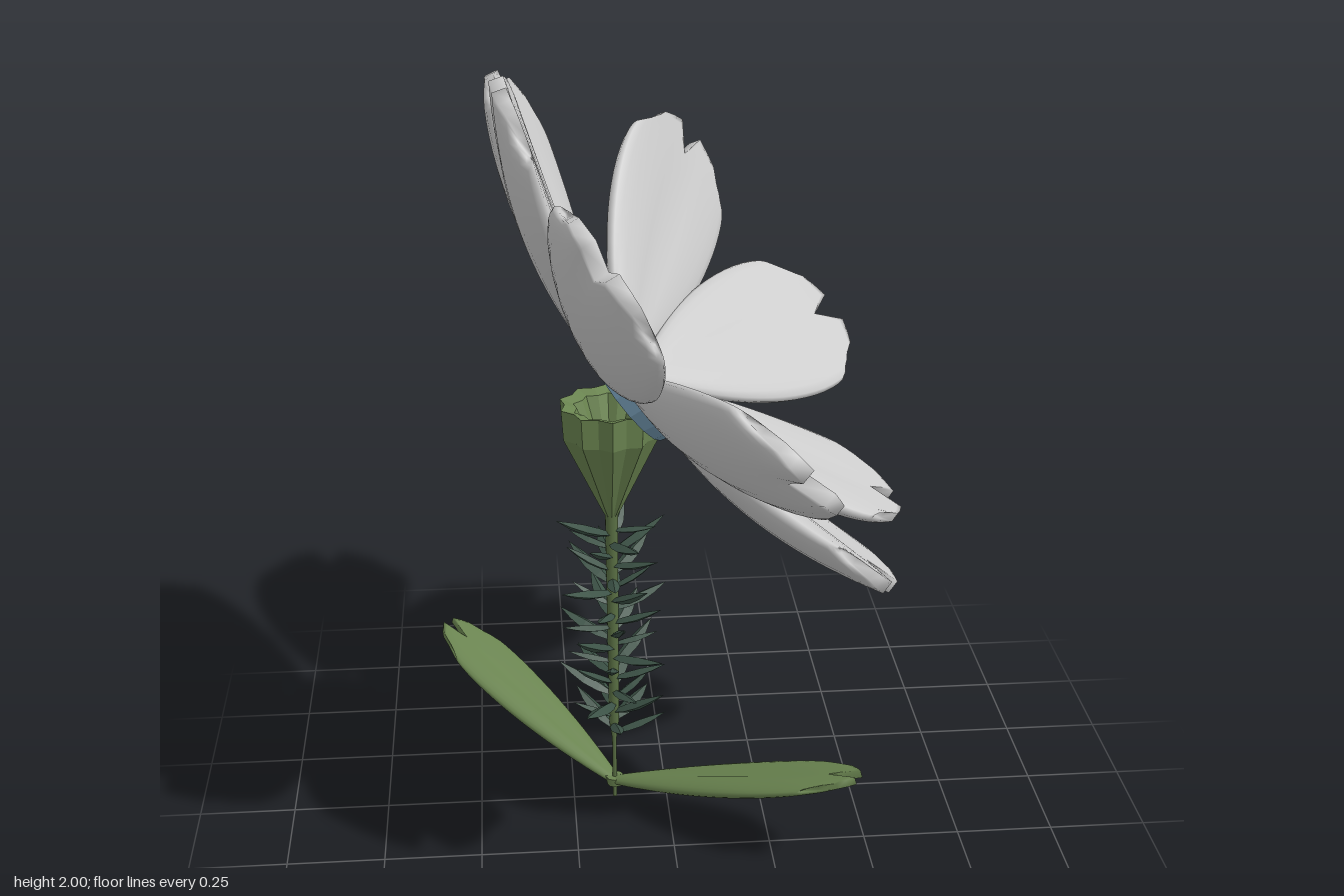
import * as THREE from 'three';

const V = (x, y, z) => new THREE.Vector3(x, y, z);
const STEM_X = -0.14;
const FACE = V(0.79, 0.62, 0).normalize(); // direction the bloom faces

const grey = new THREE.MeshStandardMaterial({ color: 0xcccccc });
const blue = new THREE.MeshStandardMaterial({ color: 0x7196ae, flatShading: true });
const leafGreen = new THREE.MeshStandardMaterial({ color: 0x6a8450 });
const cupGreen = new THREE.MeshStandardMaterial({ color: 0x6a8450, flatShading: true, side: THREE.DoubleSide });
const stemGreen = new THREE.MeshStandardMaterial({ color: 0x5a7044 });
const darkGreen = new THREE.MeshStandardMaterial({ color: 0x3c5246, flatShading: true });

// Half width along the blade (x = along, y = half width), for unit length
const OUTLINE = new THREE.SplineCurve([
  [0, 0.05], [0.1, 0.105], [0.28, 0.185], [0.48, 0.245], [0.68, 0.27], [0.87, 0.255], [1, 0.205],
].map(([t, w]) => new THREE.Vector2(t, w)));

// How far the tip reaches at side position s: a central notch between two pointed lobes
function tipReach(s) {
  const a = Math.abs(s);
  if (a < 0.27) return 0.88 + 0.44 * a;
  if (a < 0.75) return 1 - 0.13 * (a - 0.27);
  return 0.937 - 0.5 * (a - 0.75);
}

// Closed, rounded blade with a notched tip, running along +y and cupped to +z
function bladeGeometry(widthScale, thickness, cup, sag) {
  const rows = 22, ring = 24, pos = [], index = [];
  for (let i = 0; i <= rows; i++) {
    const { x: t, y: w } = OUTLINE.getPoint(i / rows);
    const fat = thickness * Math.pow(Math.sin(Math.PI * (0.08 + 0.84 * t)), 0.7);
    for (let j = 0; j < ring; j++) {
      const a = (j / ring) * Math.PI * 2, s = Math.cos(a);
      const groove = Math.sin(a) > 0 ? 0.014 * Math.max(0, 1 - Math.abs(s) * 3) * Math.sin(Math.PI * t) : 0;
      pos.push(
        s * w * widthScale,
        t * (1 - (1 - tipReach(s)) * Math.pow(t, 6)),
        Math.sin(a) * fat - groove + cup * s * s * t * (1.4 - t) - sag * Math.sin(Math.PI * t));
    }
  }
  for (let i = 0; i < rows; i++) for (let j = 0; j < ring; j++) {
    const a = i * ring + j, b = i * ring + (j + 1) % ring;
    index.push(a, a + ring, b, b, a + ring, b + ring);
  }
  // Close the base, then the blunt notched tip
  for (let j = 1; j < ring - 1; j++) index.push(0, j, j + 1);
  const end = rows * ring;
  for (let j = 0; j < ring / 2; j++) {
    const low = end + (ring - j) % ring, nextLow = end + ring - j - 1;
    index.push(end + j, low, end + j + 1, end + j + 1, low, nextLow);
  }
  const g = new THREE.BufferGeometry();
  g.setAttribute('position', new THREE.Float32BufferAttribute(pos, 3));
  g.setIndex(index);
  g.computeVertexNormals();
  return g;
}

// Place a blade from base to tip, with its inner face towards up
function placeBlade(geometry, material, name, base, tip, up, width = 1) {
  const along = tip.clone().sub(base), length = along.length();
  along.normalize();
  const side = along.clone().cross(up).normalize();
  const normal = side.clone().cross(along);
  const mesh = new THREE.Mesh(geometry, material);
  mesh.quaternion.setFromRotationMatrix(new THREE.Matrix4().makeBasis(side, along, normal));
  mesh.position.copy(base);
  mesh.scale.set(length * width, length, length);
  mesh.name = name;
  return mesh;
}

// Bloom: tilted disc with eight petals
function createBloom() {
  const bloom = new THREE.Group();
  bloom.name = 'bloom';
  const disc = new THREE.Mesh(new THREE.CylinderGeometry(0.15, 0.14, 0.035, 16), blue);
  disc.name = 'flowerCentre';
  disc.quaternion.setFromUnitVectors(V(0, 1, 0), FACE);
  disc.position.set(-0.085, 1.18, 0);
  bloom.add(disc);

  const petal = bladeGeometry(1, 0.064, 0.07, 0.035);
  const petals = [
    [V(-0.16, 1.28, 0.02), V(-0.395, 1.99, 0.11), 1],
    [V(-0.135, 1.255, 0.09), V(-0.19, 1.74, 0.65), 1.15],
    [V(-0.075, 1.21, 0.08), V(0.265, 1.265, 0.8), 1],
    [V(-0.035, 1.165, 0.04), V(0.505, 0.825, 0.43), 1.03],
    [V(-0.025, 1.16, -0.04), V(0.62, 0.775, -0.14), 1],
    [V(-0.025, 1.175, -0.13), V(0.52, 1.135, -0.67), 1.05],
    [V(-0.085, 1.22, -0.16), V(0.12, 1.63, -0.79), 1.05],
    [V(-0.16, 1.28, -0.06), V(-0.395, 1.87, -0.47), 1.05],
  ];
  petals.forEach(([base, tip, width], i) =>
    bloom.add(placeBlade(petal, grey, `petal${i + 1}`, base, tip, FACE, width)));
  return bloom;
}

// Pleated cup under the bloom, cut away where the tilted disc sits in it
function createCup() {
  const profile = [[0.015, 0.84], [0.03, 0.87], [0.125, 1.07], [0.13, 1.15], [0.095, 1.14], [0.06, 1.06], [0.001, 1.03]]
    .map(([r, y]) => new THREE.Vector2(r, y));
  const g = new THREE.LatheGeometry(profile, 20);
  const p = g.attributes.position;
  for (let i = 0; i < p.count; i++) {
    const fold = Math.floor(i / profile.length) % 2 ? 0.87 : 1;
    const x = p.getX(i) * fold;
    p.setXYZ(i, x, Math.min(p.getY(i), 1.225 - 1.0 * x), p.getZ(i) * fold);
  }
  const cup = new THREE.Mesh(g, cupGreen);
  cup.name = 'calyx';
  cup.position.x = STEM_X;
  return cup;
}

// Stem with a spiral of small pointed leaves
function createStem() {
  const stem = new THREE.Group();
  stem.name = 'stem';
  stem.position.x = STEM_X;
  const stalk = new THREE.Mesh(new THREE.LatheGeometry(
    [[0.006, 0], [0.006, 0.18], [0.014, 0.24], [0.017, 0.88]].map(([r, y]) => new THREE.Vector2(r, y)), 10), stemGreen);
  stalk.name = 'stalk';
  stem.add(stalk);

  // Flattened spike along +x, widest near the middle and rising to its point
  const spike = new THREE.CylinderGeometry(1, 1, 1, 4, 4);
  const p = spike.attributes.position;
  for (let i = 0; i < p.count; i++) {
    const t = p.getY(i) + 0.5;
    const w = 0.021 * Math.sin(Math.PI * (0.12 + 0.88 * t));
    p.setXYZ(i, t * 0.15, p.getX(i) * w * 0.6 + 0.04 * t + 0.02 * t * t, -p.getZ(i) * w);
  }
  const count = 48;
  for (let i = 0; i < count; i++) {
    const leaf = new THREE.Mesh(spike, darkGreen);
    leaf.name = 'stemLeaf';
    leaf.position.y = 0.2 + 0.6 * i / (count - 1);
    leaf.rotation.set(0, i * 2.4, 0.2 * Math.sin(i * 1.7));
    leaf.scale.setScalar(0.92 + 0.18 * Math.sin(i * 2.9));
    stem.add(leaf);
  }
  return stem;
}

// Two long leaves at the foot
function createFootLeaves() {
  const group = new THREE.Group();
  group.name = 'footLeaves';
  const blade = bladeGeometry(0.44, 0.036, 0.01, 0.01);
  const base = V(STEM_X, 0.05, 0);
  group.add(placeBlade(blade, leafGreen, 'leftFootLeaf', base, V(0.455, 0.28, 0.4), V(0, 1, 0)));
  group.add(placeBlade(blade, leafGreen, 'rightFootLeaf', base, V(-0.59, 0.28, -0.51), V(0, 1, 0)));
  const collar = new THREE.Mesh(new THREE.CylinderGeometry(0.025, 0.02, 0.025, 8), leafGreen);
  collar.name = 'leafCollar';
  collar.position.set(STEM_X, 0.05, 0);
  group.add(collar);
  return group;
}

export function createModel() {
  const flower = new THREE.Group();
  flower.name = 'flower';
  flower.add(createBloom(), createCup(), createStem(), createFootLeaves());
  return flower;
}
